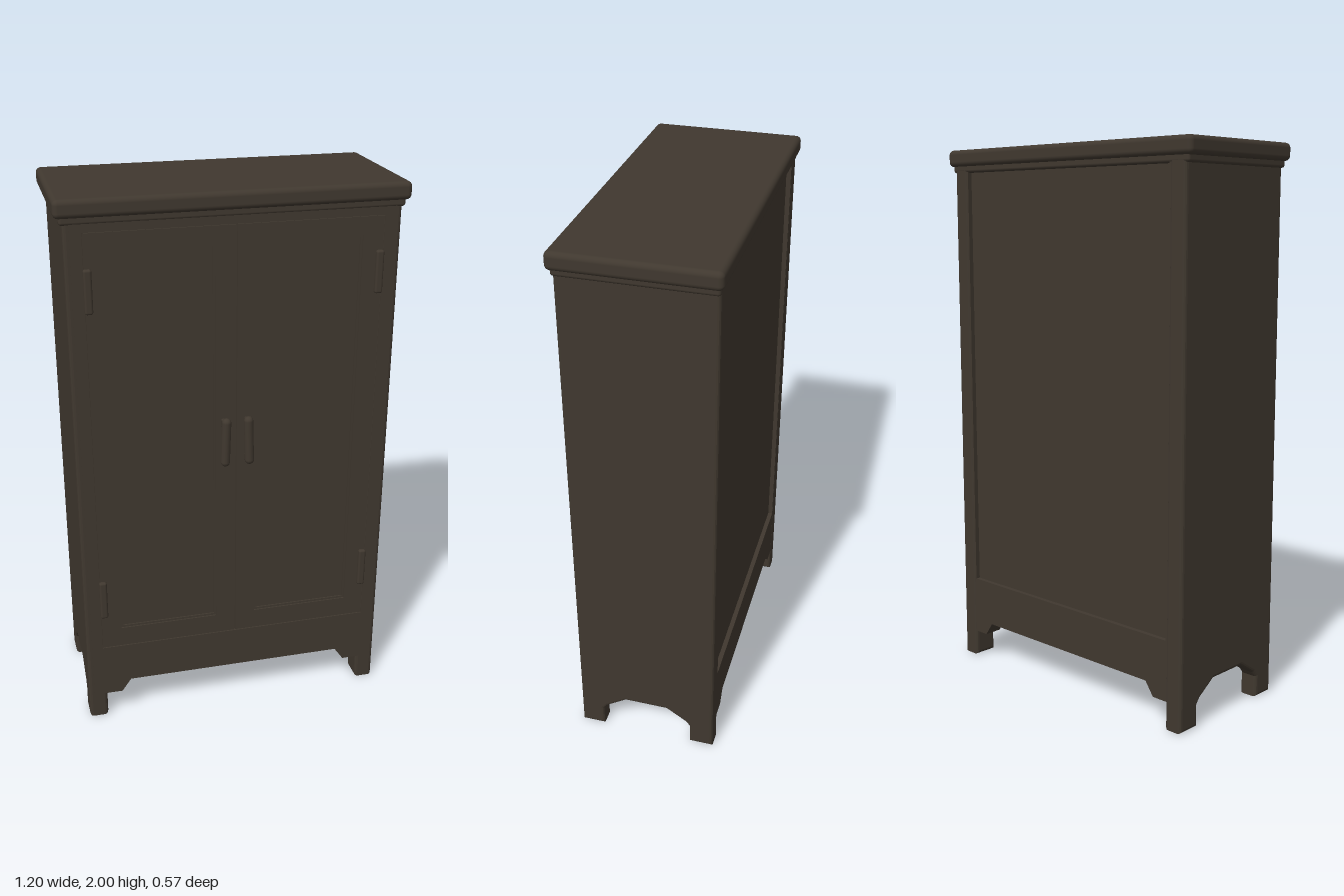
import * as THREE from 'three';
import { RoundedBoxGeometry } from 'three/addons/geometries/RoundedBoxGeometry.js';

export function createModel() {
  const group = new THREE.Group();
  const wood = new THREE.MeshStandardMaterial({ color: 0x40382f });
  wood.name = 'dark wood';

  const add = (name, geometry, x = 0, y = 0, z = 0) => {
    const mesh = new THREE.Mesh(geometry, wood);
    mesh.name = name;
    mesh.position.set(x, y, z);
    group.add(mesh);
    return mesh;
  };
  const poly = (points) => new THREE.Shape(points.map(([x, y]) => new THREE.Vector2(x, y)));
  const rect = (x0, y0, x1, y1) => poly([[x0, y0], [x1, y0], [x1, y1], [x0, y1]]);
  const extrude = (shape, depth, bevel = 0) => {
    const geometry = new THREE.ExtrudeGeometry(shape, {
      depth: depth - 2 * bevel, bevelEnabled: bevel > 0, bevelSize: bevel,
      bevelThickness: bevel, bevelOffset: -bevel, bevelSegments: 3,
    });
    return geometry.translate(0, 0, bevel);
  };

  // Overhanging top with a rounded moulding
  add('top', new RoundedBoxGeometry(1.2, 0.062, 0.55, 3, 0.018), 0, 1.969, -0.01);
  add('topMoulding', new RoundedBoxGeometry(1.165, 0.04, 0.525, 2, 0.01), 0, 1.935, -0.01);

  // Side panels whose arched lower edge forms the feet
  const sideProfile = poly([
    [-0.248, 0], [-0.16, 0], [-0.16, 0.08], [-0.145, 0.1], [-0.07, 0.15],
    [0.09, 0.15], [0.165, 0.1], [0.18, 0.08], [0.18, 0], [0.272, 0], [0.272, 1.95], [-0.248, 1.95],
  ]);
  for (const [name, x] of [['rightSide', -0.572], ['leftSide', 0.502]]) {
    add(name, extrude(sideProfile, 0.07, 0.012).rotateY(Math.PI / 2), x);
  }

  // Face frames with bracketed aprons
  const faceFrame = (x, y0, y1) => {
    const shape = poly([
      [-0.552, 0.1], [-0.445, 0.1], [-0.41, 0.15], [0.41, 0.15],
      [0.445, 0.1], [0.552, 0.1], [0.552, 1.95], [-0.552, 1.95],
    ]);
    shape.holes.push(rect(-x, y0, x, y1));
    return extrude(shape, 0.07);
  };
  add('frontFrame', faceFrame(0.512, 0.307, 1.89), 0, 0, 0.18);
  add('backFrame', faceFrame(0.5, 0.32, 1.92), 0, 0, -0.27);
  add('backPanel', new THREE.BoxGeometry(1.02, 1.64, 0.02), 0, 1.12, -0.243);
  add('floor', new THREE.BoxGeometry(1.02, 0.02, 0.42), 0, 0.195, -0.01);

  for (const side of [-1, 1]) {
    const label = side > 0 ? 'left' : 'right';

    // Framed door with a sunken panel and an inner bead
    const door = rect(-0.2545, 0.309, 0.2545, 1.888);
    door.holes.push(rect(-0.182, 0.385, 0.182, 1.825));
    add(label + 'Door', extrude(door, 0.03), side * 0.256, 0, 0.218);
    add(label + 'DoorPanel', new THREE.BoxGeometry(0.38, 1.46, 0.015), side * 0.25, 1.105, 0.2305);
    const bead = rect(-0.184, 0.383, 0.184, 1.827);
    bead.holes.push(rect(-0.174, 0.393, 0.174, 1.817));
    add(label + 'DoorBead', extrude(bead, 0.01), side * 0.256, 0, 0.233);

    // Pull handle: a rounded bar on two short mounts
    const bar = new THREE.CapsuleGeometry(0.017, 0.15, 4, 12);
    add(label + 'Handle', bar, side * 0.042, 1.115, 0.266).rotation.z = side * 0.03;
    for (const y of [1.045, 1.185]) {
      add(label + 'HandleMount', new RoundedBoxGeometry(0.026, 0.03, 0.04, 2, 0.006), side * 0.042, y, 0.25);
    }

    // Hinges
    for (const y of [0.52, 1.695]) {
      add(label + 'Hinge', new RoundedBoxGeometry(0.028, 0.152, 0.03, 2, 0.008), side * 0.5, y, 0.247);
    }
  }
  return group;
}
